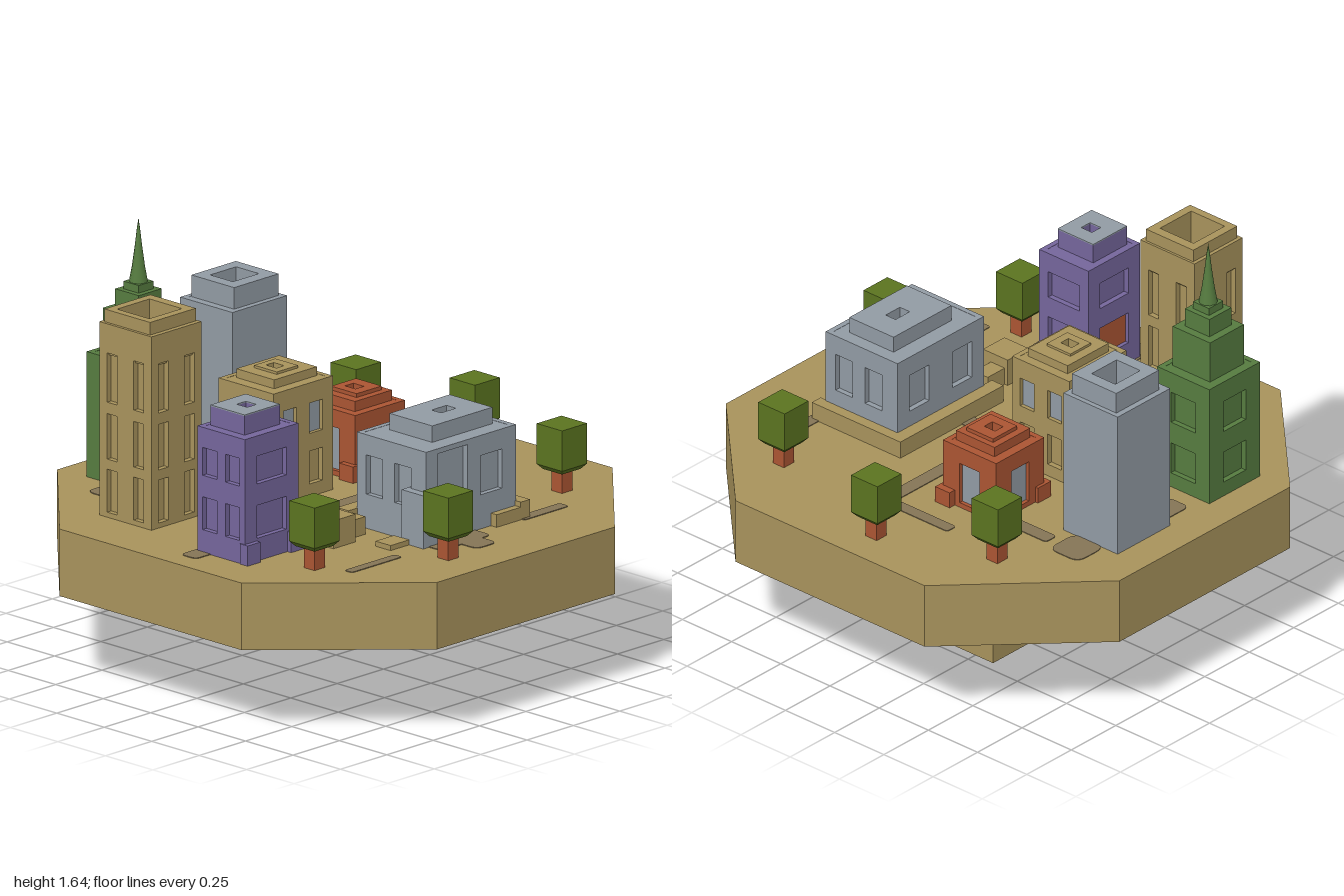
import * as THREE from 'three';

const mat = (name, color) => Object.assign(new THREE.MeshStandardMaterial({ color }), { name });

export function createModel() {
  const M = {
    sand: mat('sand', 0xa8935c), earth: mat('earth', 0x857556), purple: mat('purple', 0x75669c),
    green: mat('green', 0x567c40), grey: mat('grey', 0x929ba4), rust: mat('rust', 0xab5533),
    leaf: mat('leaf', 0x5b7420),
  };
  const G = 0.62; // ground level
  const T = 0.022; // wall thickness, also the window recess
  const model = new THREE.Group();
  model.name = 'floatingCity';

  const add = (parent, name, geo, m, x = 0, y = 0, z = 0) => {
    const mesh = new THREE.Mesh(geo, m);
    mesh.name = name;
    mesh.position.set(x, y, z);
    parent.add(mesh);
    return mesh;
  };
  // box from its limits
  const box = (parent, name, m, x0, x1, y0, y1, z0, z1) =>
    add(parent, name, new THREE.BoxGeometry(x1 - x0, y1 - y0, z1 - z0), m, (x0 + x1) / 2, (y0 + y1) / 2, (z0 + z1) / 2);
  const rect = (C, x0, x1, y0, y1) => new C([[x0, y0], [x1, y0], [x1, y1], [x0, y1]].map((p) => new THREE.Vector2(...p)));
  // extrude a shape drawn in (x, -z) upwards
  const rise = (shape, h) => new THREE.ExtrudeGeometry(shape, { depth: h, bevelEnabled: false, curveSegments: 5 }).rotateX(-Math.PI / 2);
  // rectangular frame with an opening
  const ring = (parent, name, m, o, y0, y1, i) => {
    const s = rect(THREE.Shape, o[0], o[1], -o[3], -o[2]);
    s.holes.push(rect(THREE.Path, i[0], i[1], -i[3], -i[2]));
    return add(parent, name, rise(s, y1 - y0), m, 0, y0, 0);
  };

  // Walls with recessed windows around a solid core.
  // b: x0, x1, z0, z1; faces: front, left (+x), back, right (-x), each a list of
  // openings [centre, bottom, width, height, optional pane material]
  const building = (name, m, b, top, faces, coreTop = top) => {
    const g = new THREE.Group();
    g.name = name;
    model.add(g);
    const [x0, x1, z0, z1] = b;
    box(g, 'core', m, x0 + T, x1 - T, G, coreTop - 0.001, z0 + T, z1 - T);
    faces.forEach((openings, k) => {
      const along = k % 2 ? z1 - z0 - 2 * T : x1 - x0;
      const half = (k % 2 ? x1 - x0 : z1 - z0) / 2;
      const s = rect(THREE.Shape, -along / 2, along / 2, 0, top - G);
      const side = new THREE.Group();
      side.name = 'side';
      side.position.set((x0 + x1) / 2, G, (z0 + z1) / 2);
      side.rotation.y = k * Math.PI / 2;
      for (const [u, y, w, h, pane] of openings) {
        s.holes.push(rect(THREE.Path, u - w / 2, u + w / 2, y - G, y - G + h));
        if (pane) box(side, 'windowPane', pane, u - w / 2, u + w / 2, y - G, y - G + h, half - T, half - T + 0.006);
      }
      add(side, 'wall', new THREE.ExtrudeGeometry(s, { depth: T, bevelEnabled: false }), m, 0, 0, half - T);
      g.add(side);
    });
    return g;
  };
  const all = (f) => [f, f, f, f];
  const grid = (us, rows, w, pane) => rows.flatMap(([y, h]) => us.map((u) => [u, y, w, h, pane]));

  // Octagonal ground slab
  const c = 0.48;
  const oct = new THREE.Shape([[c, 1], [-c, 1], [-1, c], [-1, -c], [-c, -1], [c, -1], [1, -c], [1, c]].map((p) => new THREE.Vector2(...p)));
  add(model, 'ground', rise(oct, G - 0.355), M.sand, 0, 0.355, 0);

  // Worn streets: rounded thin plates x0, x1, z0, z1
  const plate = (name, x0, x1, z0, z1, y) => {
    const r = Math.min(x1 - x0, z1 - z0) * 0.3;
    const s = new THREE.Shape();
    s.moveTo(x0 + r, -z1).lineTo(x1 - r, -z1).quadraticCurveTo(x1, -z1, x1, -z1 + r)
      .lineTo(x1, -z0 - r).quadraticCurveTo(x1, -z0, x1 - r, -z0)
      .lineTo(x0 + r, -z0).quadraticCurveTo(x0, -z0, x0, -z0 - r)
      .lineTo(x0, -z1 + r).quadraticCurveTo(x0, -z1, x0 + r, -z1);
    add(model, name, rise(s, 0.004), M.earth, 0, y, 0);
  };
  [[-0.6, -0.46, -0.73, -0.5], [-0.46, 0.09, -0.6, -0.51], [-0.11, 0.05, -0.82, -0.72], [-0.02, 0.05, -0.8, -0.53],
    [0.33, 0.48, -0.79, -0.64], [-0.37, -0.29, -0.55, 0.08], [-0.45, -0.11, 0.03, 0.1], [-0.07, 0.64, 0.03, 0.09],
    [0.59, 0.64, -0.27, 0.09], [-0.07, 0, 0.03, 0.26], [-0.91, -0.53, 0.07, 0.15], [-0.62, -0.35, 0.65, 0.69],
    [0.3, 0.54, 0.65, 0.7], [-0.19, 0.08, 0.64, 0.74], [-0.08, 0.03, 0.7, 0.82], [0.39, 0.45, -0.6, -0.38],
    [-0.5, -0.42, -0.22, -0.14]].forEach((p) => plate('street', ...p, G - 0.001));
  // Patches under the slab: x, z, half sizes
  [[0.74, -0.25, 0.05, 0.05], [0.03, -0.88, 0.06, 0.05], [0.1, -0.69, 0.12, 0.05], [-0.43, -0.37, 0.1, 0.12],
    [-0.16, -0.52, 0.09, 0.06], [0.76, -0.06, 0.05, 0.06], [-0.03, 0.44, 0.13, 0.1], [0.44, 0.52, 0.06, 0.05],
    [0.16, 0.62, 0.12, 0.04], [-0.35, 0.37, 0.06, 0.1], [-0.57, 0.43, 0.12, 0.04], [0.52, 0.1, 0.05, 0.08],
    [-0.68, 0.05, 0.06, 0.1]].forEach(([x, z, a, b]) => plate('undersidePatch', x - a, x + a, z - b, z + b, 0.352));

  // Foundations hanging below
  box(model, 'foundation', M.sand, -0.25, 0.07, 0.12, 0.36, -0.37, -0.08);
  box(model, 'deepFoundation', M.sand, 0.21, 0.46, 0, 0.36, -0.34, -0.095);
  box(model, 'foundationStain', M.earth, 0.21, 0.31, 0.01, 0.35, -0.096, -0.092);
  box(model, 'foundationStain', M.earth, 0.0, 0.06, 0.15, 0.29, -0.081, -0.077);

  // Purple block with pale roof
  const purpleWin = (low) => [[0, 0.925, 0.16, 0.11], [0, 0.71, 0.16, 0.13, low]];
  const pairs = grid([-0.06, 0.06], [[0.71, 0.13], [0.925, 0.11]], 0.075);
  const p = building('purpleBlock', M.purple, [-0.83, -0.54, 0.08, 0.33], 1.115, [purpleWin(), purpleWin(), purpleWin(M.rust), pairs]);
  const pTop = [-0.79, -0.6, 0.11, 0.29], pHole = [-0.715, -0.665, 0.175, 0.23];
  ring(p, 'roofBlock', M.purple, pTop, 1.115, 1.19, pHole);
  ring(p, 'roofPlate', M.grey, pTop, 1.19, 1.195, pHole);
  for (const x of [-0.835, -0.6]) box(p, 'porchPillar', M.purple, x, x + 0.07, G, 0.7, 0.31, 0.35);

  // Tall sand tower with open top
  const t = building('sandTower', M.sand, [-0.77, -0.5, -0.495, -0.22], 1.385,
    all(grid([-0.07, 0.07], [[0.64, 0.17], [0.85, 0.18], [1.075, 0.195]], 0.052)), 1.27);
  const tHole = [-0.725, -0.55, -0.445, -0.275];
  ring(t, 'upperFloor', M.sand, [-0.76, -0.51, -0.485, -0.23], 1.26, 1.384, tHole);
  ring(t, 'parapet', M.sand, [-0.757, -0.51, -0.48, -0.24], 1.38, 1.435, tHole);

  // Green stepped tower with spire
  const g = building('greenTower', M.green, [-0.465, -0.18, -0.86, -0.595], 1.115, all(grid([0], [[0.68, 0.13], [0.9, 0.13]], 0.125)));
  const sx = -0.32, sz = -0.728;
  [[0.095, 1.115, 1.285], [0.062, 1.285, 1.36], [0.04, 1.36, 1.39]].forEach(([r, y0, y1]) =>
    box(g, 'setback', M.green, sx - r, sx + r, y0, y1, sz - r, sz + r));
  const spire = [[0.036, 0], [0.025, 0.06], [0.014, 0.14], [0.006, 0.21], [0, 0.25]].map((q) => new THREE.Vector2(...q));
  add(g, 'spire', new THREE.LatheGeometry(spire, 10), M.green, sx, 1.39, sz);

  // Plain grey tower with open top
  const gt = building('greyTower', M.grey, [0.04, 0.335, -0.86, -0.585], 1.215, all([]), 1.2);
  const gHole = [0.125, 0.265, -0.785, -0.665];
  ring(gt, 'upperFloor', M.grey, [0.05, 0.325, -0.85, -0.595], 1.19, 1.2145, gHole);
  ring(gt, 'parapet', M.grey, [0.075, 0.315, -0.835, -0.61], 1.21, 1.3, gHole);

  // Sand mid-rise with grey panes
  const midWin = [...grid([-0.07, 0.07], [[0.67, 0.13]], 0.07), ...grid([-0.07, 0.07], [[0.87, 0.12]], 0.07, M.grey)];
  const m = building('sandMidrise', M.sand, [-0.25, 0.07, -0.375, -0.085], 1.07, all(midWin));
  const mHole = [-0.112, -0.07, -0.26, -0.205];
  ring(m, 'roofBlock', M.sand, [-0.2, 0.03, -0.33, -0.13], 1.07, 1.105, mHole);
  ring(m, 'roofCap', M.sand, [-0.145, -0.03, -0.29, -0.17], 1.1, 1.115, mHole);

  // Rust shop with corner plinths
  const r = building('rustShop', M.rust, [0.2, 0.47, -0.365, -0.095], 0.88, all([[0, 0.64, 0.1, 0.17, M.grey]]));
  const rHole = [0.315, 0.36, -0.26, -0.205];
  ring(r, 'roofBlock', M.rust, [0.235, 0.435, -0.325, -0.13], 0.88, 0.92, rHole);
  ring(r, 'roofCap', M.rust, [0.275, 0.41, -0.295, -0.16], 0.915, 0.935, rHole);
  for (const x of [0.175, 0.425]) for (const z of [-0.378, -0.155]) box(r, 'plinth', M.rust, x, x + 0.075, G, 0.685, z, z + 0.073);

  // Grey hall with door, windows and low garden wall
  const hallSide = grid([-0.09, 0.06], [[0.755, 0.155]], 0.085);
  const h = building('greyHall', M.grey, [-0.185, 0.3, 0.29, 0.655], 0.99,
    [[[-0.1, 0.63, 0.16, 0.34], [0.11, 0.755, 0.115, 0.155]], hallSide, grid([-0.12, 0.12], [[0.755, 0.155]], 0.11), hallSide]);
  ring(h, 'roofBlock', M.grey, [-0.08, 0.245, 0.36, 0.585], 0.99, 1.055, [0.06, 0.14, 0.445, 0.495]);
  box(h, 'cornerPost', M.grey, -0.22, -0.11, G, 0.83, 0.56, 0.675);
  box(h, 'gardenWall', M.sand, -0.235, 0.345, G, 0.69, 0.235, 0.295);
  box(h, 'gardenWall', M.sand, 0.295, 0.345, G, 0.69, 0.29, 0.685);
  box(h, 'gardenWall', M.sand, 0.165, 0.3, G, 0.67, 0.65, 0.685);
  box(h, 'rubble', M.sand, -0.32, -0.22, G, 0.64, 0.52, 0.6);

  // Low sheds
  box(model, 'shed', M.sand, -0.455, -0.335, G, 0.725, 0.08, 0.28);
  box(model, 'shedRoof', M.earth, -0.45, -0.34, 0.724, 0.729, 0.085, 0.275);
  box(model, 'shed', M.sand, -0.455, -0.335, G, 0.73, 0.305, 0.43);
  box(model, 'rubble', M.sand, -0.335, -0.24, G, 0.69, 0.32, 0.39);

  // Trees
  for (const [x, z] of [[0.665, -0.545], [0.84, -0.09], [0.665, 0.54], [-0.67, 0.54], [-0.23, 0.815]]) {
    const tree = new THREE.Group();
    tree.name = 'tree';
    tree.position.set(x, G, z);
    box(tree, 'trunk', M.rust, -0.028, 0.028, 0, 0.1, -0.028, 0.028);
    box(tree, 'foliage', M.leaf, -0.067, 0.067, 0.105, 0.265, -0.067, 0.067);
    const skirt = new THREE.CylinderGeometry(0.067 * Math.SQRT2, 0.05 * Math.SQRT2, 0.02, 4).rotateY(Math.PI / 4).toNonIndexed();
    skirt.computeVertexNormals();
    add(tree, 'foliageBase', skirt, M.leaf, 0, 0.095, 0);
    model.add(tree);
  }
  return model;
}
